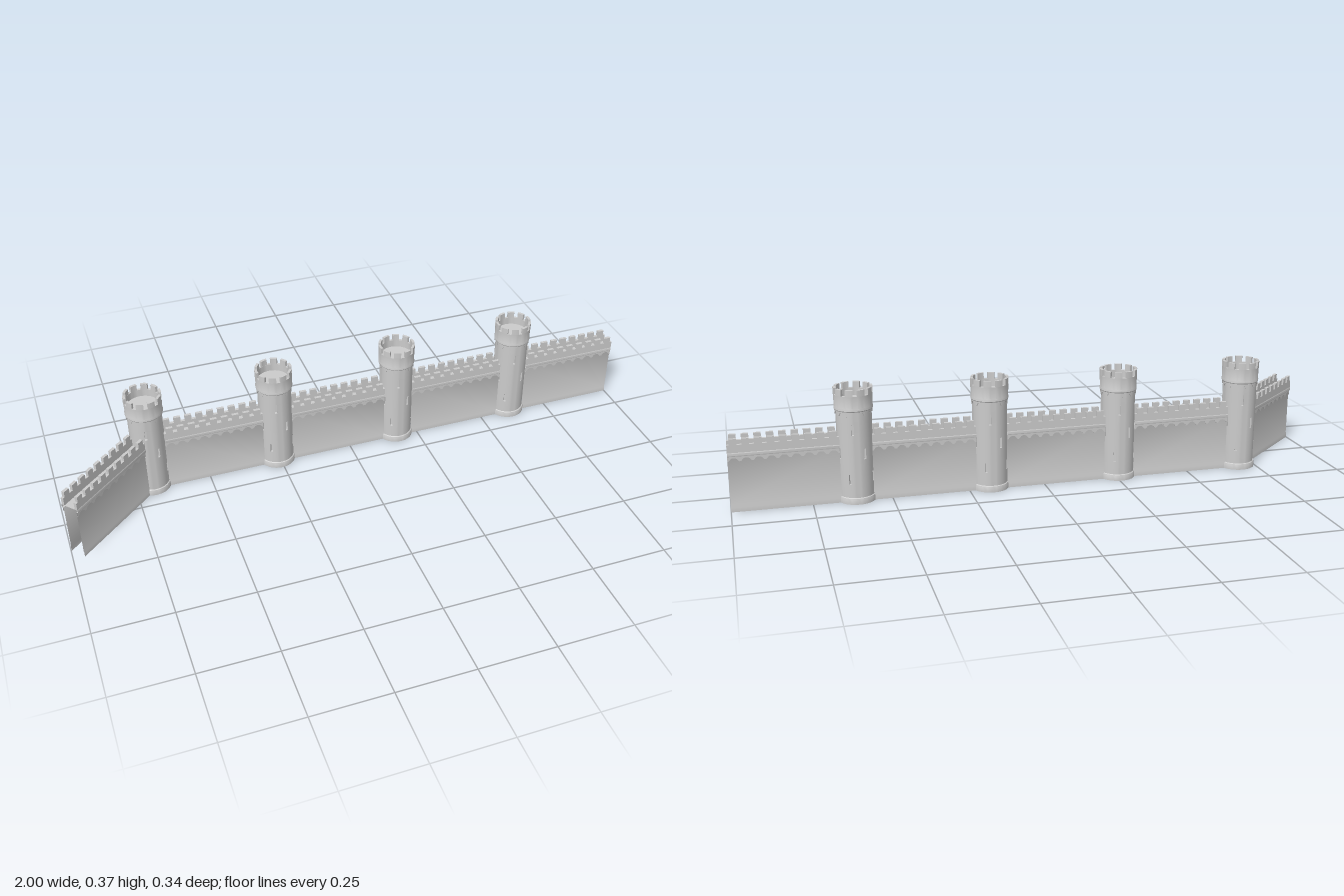
import * as THREE from 'three';
import { toCreasedNormals } from 'three/addons/utils/BufferGeometryUtils.js';

const grey = new THREE.MeshStandardMaterial({ color: 0xcccccc, side: THREE.DoubleSide });
const recessMat = new THREE.MeshStandardMaterial({ color: 0xcccccc, side: THREE.BackSide });
const WALL_Z = -0.1085, PITCH = 0.036;

function add(parent, name, geometry, material = grey) {
  const mesh = new THREE.Mesh(geometry, material);
  mesh.name = name;
  parent.add(mesh);
  return mesh;
}

// Surface of cols x rows quads; point(i, j) gives a corner, skip(i, j) leaves a hole
function grid(cols, rows, point, skip = () => false) {
  const pos = [], index = [];
  for (let j = 0; j <= rows; j++)
    for (let i = 0; i <= cols; i++) pos.push(...point(i, j));
  for (let j = 0; j < rows; j++)
    for (let i = 0; i < cols; i++) {
      if (skip(i, j)) continue;
      const a = j * (cols + 1) + i, b = a + cols + 1;
      index.push(a, b, a + 1, b, b + 1, a + 1);
    }
  const g = new THREE.BufferGeometry();
  g.setAttribute('position', new THREE.Float32BufferAttribute(pos, 3));
  g.setIndex(index);
  g.computeVertexNormals();
  return toCreasedNormals(g, 0.6);
}

const lathe = (pts) => toCreasedNormals(
  new THREE.LatheGeometry(pts.map(p => new THREE.Vector2(...p)), 48), 0.5);

// Lower edge of a row of small arches, t counted in arches
function archEdge(t, low, high) {
  const s = (t - Math.floor(t) - 0.5) / 0.36;
  return Math.abs(s) >= 1 ? low : low + (high - low) * Math.sqrt(1 - s * s);
}

// ---- Tower ----
const R = 0.056, COLS = 48, STEP = 2 * Math.PI / COLS;
const LEVELS = [0.018, 0.065, 0.097, 0.145, 0.179, 0.225, 0.26, 0.305];
const SLITS = { 1: [27, 124, -64, -153], 3: [64, -29, -120, 150], 5: [9, 99, -81, -171] };

function tower() {
  const g = new THREE.Group();
  g.name = 'tower';
  const slitCols = {};
  for (const row in SLITS)
    slitCols[row] = SLITS[row].map(d => (Math.floor(d / 7.5) + COLS) % COLS);

  // Shaft with openings for the slits
  add(g, 'towerShaft', grid(COLS, LEVELS.length - 1,
    (i, j) => [R * Math.cos(i * STEP), LEVELS[j], R * Math.sin(i * STEP)],
    (i, j) => slitCols[j]?.includes(i)));

  // Recess behind each slit
  for (const row in slitCols)
    for (const col of slitCols[row]) {
      const a = (col + 0.5) * STEP, y0 = LEVELS[row], y1 = LEVELS[+row + 1];
      const box = new THREE.BoxGeometry(0.009, y1 - y0, 2 * R * Math.sin(STEP / 2));
      const slit = add(g, 'arrowSlit', box, recessMat);
      slit.position.set((R - 0.0045) * Math.cos(a), (y0 + y1) / 2, (R - 0.0045) * Math.sin(a));
      slit.rotation.y = -a;
    }

  add(g, 'towerPlinth', lathe([[0.0605, 0], [0.0605, 0.015], [0.059, 0.019], [R, 0.021]]));

  // Hanging arches under the head
  const n = 12, per = 12;
  add(g, 'towerArches', grid(n * per, 2, (i, j) => {
    const a = i / (n * per) * 2 * Math.PI, r = j === 0 ? R : 0.0588;
    return [r * Math.cos(a), j === 2 ? 0.3 : archEdge(i / per, 0.285, 0.297), r * Math.sin(a)];
  }));

  // Moulding, parapet and sunken platform
  add(g, 'towerHead', lathe([[R, 0.3], [0.0595, 0.3], [0.0612, 0.303], [0.0612, 0.308],
    [0.0598, 0.311], [0.0612, 0.35], [0.053, 0.35], [0.053, 0.325], [0, 0.325]]));

  // Merlons
  for (let k = 0; k < 10; k++) {
    const a = k * Math.PI / 5, h = 0.2;
    const s = new THREE.Shape();
    s.absarc(0, 0, 0.0615, a - h, a + h, false);
    s.absarc(0, 0, 0.053, a + h, a - h, true);
    const geo = new THREE.ExtrudeGeometry(s, { depth: 0.02, bevelEnabled: false, curveSegments: 5 });
    geo.rotateX(-Math.PI / 2);
    add(g, 'towerMerlon', geo).position.y = 0.35;
  }
  return g;
}

// ---- Curtain wall running along local +x, open at both ends and below ----
const FACE = [[0, 0.0265], [0.015, 0.0265], [0.02, 0.025], [0.18, 0.025],
  [0.18, 0.03], [0.183, 0.0315], [0.189, 0.0315], [0.192, 0.03]];

function wall(length) {
  const g = new THREE.Group();
  g.name = 'curtainWall';
  const count = Math.round(length / PITCH), p = length / count, per = 12;

  // Crenellated silhouette of the parapet
  const s = new THREE.Shape();
  s.moveTo(0, 0.19);
  s.lineTo(length, 0.19);
  s.lineTo(length, 0.217);
  for (let k = count - 1; k >= 0; k--)
    for (const [f, y] of [[0.8, 0.217], [0.8, 0.236], [0.2, 0.236], [0.2, 0.217]])
      s.lineTo((k + f) * p, y);
  s.lineTo(0, 0.217);
  const parapet = new THREE.ExtrudeGeometry(s, { depth: 0.01, bevelEnabled: false });

  for (const side of [1, -1]) {
    add(g, 'wallFace', grid(1, FACE.length - 1,
      (i, j) => [i * length, FACE[j][0], side * FACE[j][1]]));
    add(g, 'wallArches', grid(count * per, 2, (i, j) => [
      i / per * p, j === 2 ? 0.18 : archEdge(i / per, 0.164, 0.175), side * (j === 0 ? 0.025 : 0.0285)]));
    add(g, 'wallParapet', parapet).position.z = side > 0 ? 0.02 : -0.03;
  }

  // Walkway between the parapets
  const walk = new THREE.PlaneGeometry(length, 0.06).rotateX(-Math.PI / 2);
  add(g, 'walkway', walk).position.set(length / 2, 0.19, 0);
  return g;
}

export function createModel() {
  const model = new THREE.Group();
  model.name = 'castleWall';
  const gap = 0.4333, first = -0.69, inset = 0.051;

  for (let k = 0; k < 4; k++) {
    const x = first + k * gap;
    const t = tower();
    t.position.set(x, 0, WALL_Z);
    model.add(t);
    const w = wall(k < 3 ? gap - 2 * inset : 1 - x - inset);
    w.position.set(x + inset, 0, WALL_Z);
    model.add(w);
  }

  // Wall turning forward from the corner tower
  const dx = -0.291, dz = 0.2585, len = Math.hypot(dx, dz);
  const angled = wall(len - inset);
  angled.position.set(first + dx / len * inset, 0, WALL_Z + dz / len * inset);
  angled.rotation.y = Math.atan2(-dz, dx);
  model.add(angled);
  return model;
}
